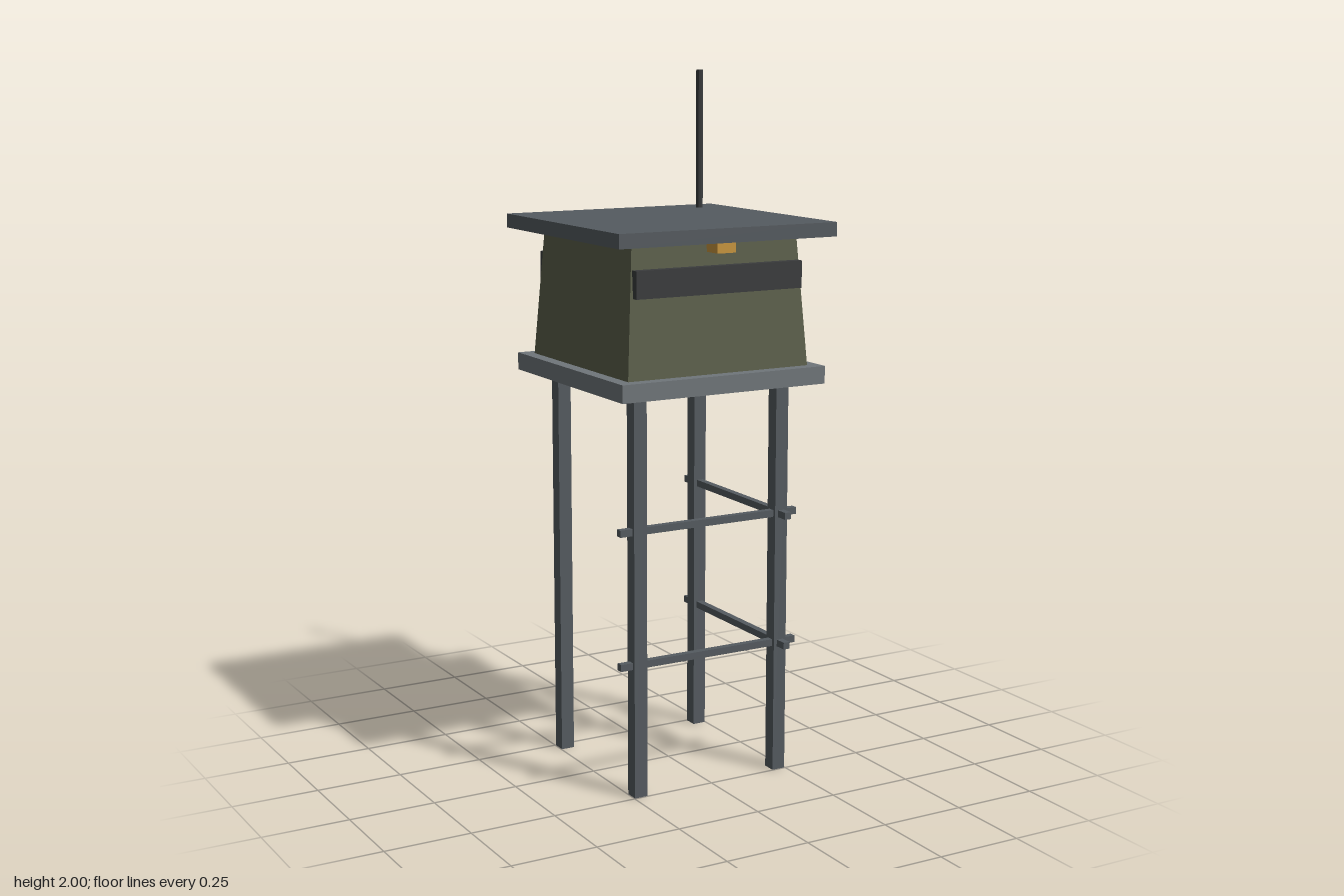
import * as THREE from 'three';

export function createModel() {
  const model = new THREE.Group();
  const paint = (color) => new THREE.MeshStandardMaterial({ color, flatShading: true });
  const steel = paint(0x555b60);
  const deckGrey = paint(0x70767a);
  const olive = paint(0x5a5e49);
  const dark = paint(0x3a3c3d);
  const amber = paint(0xc8963e);

  const add = (name, geometry, material, x, y, z) => {
    const mesh = new THREE.Mesh(geometry, material);
    mesh.name = name;
    mesh.position.set(x, y, z);
    model.add(mesh);
  };
  const box = (name, w, h, d, material, x, y, z) =>
    add(name, new THREE.BoxGeometry(w, h, d), material, x, y, z);

  // Four square legs
  const legAt = 0.228;
  for (const sx of [-1, 1]) {
    for (const sz of [-1, 1]) {
      box('leg', 0.04, 1.145, 0.04, steel, sx * legAt, 0.5725, sz * legAt);
    }
  }

  // Two levels of braces, on the front and the left side only
  for (const y of [0.383, 0.765]) {
    box('frontBrace', 0.57, 0.02, 0.02, steel, 0, y, legAt);
    box('sideBrace', 0.02, 0.02, 0.57, steel, legAt, y, 0);
  }

  // Platform
  box('deck', 0.642, 0.05, 0.642, deckGrey, 0, 1.168, 0);

  // Cabin tapering towards the roof
  const cabin = new THREE.CylinderGeometry(0.26 * Math.SQRT2, 0.285 * Math.SQRT2, 0.365, 4);
  cabin.rotateY(Math.PI / 4);
  add('cabin', cabin, olive, 0, 1.3755, 0);

  // Window slits, front and back
  for (const s of [-1, 1]) {
    box('windowSlit', 0.522, 0.076, 0.03, dark, 0, 1.451, s * 0.274);
  }

  // Lamp under the front eave
  box('lamp', 0.058, 0.03, 0.06, amber, 0, 1.541, 0.288);

  // Roof slab and antenna
  box('roof', 0.682, 0.04, 0.682, steel, 0, 1.576, 0);
  add('antenna', new THREE.CylinderGeometry(0.0105, 0.0105, 0.41, 8), dark, 0.246, 1.795, -0.247);

  return model;
}
